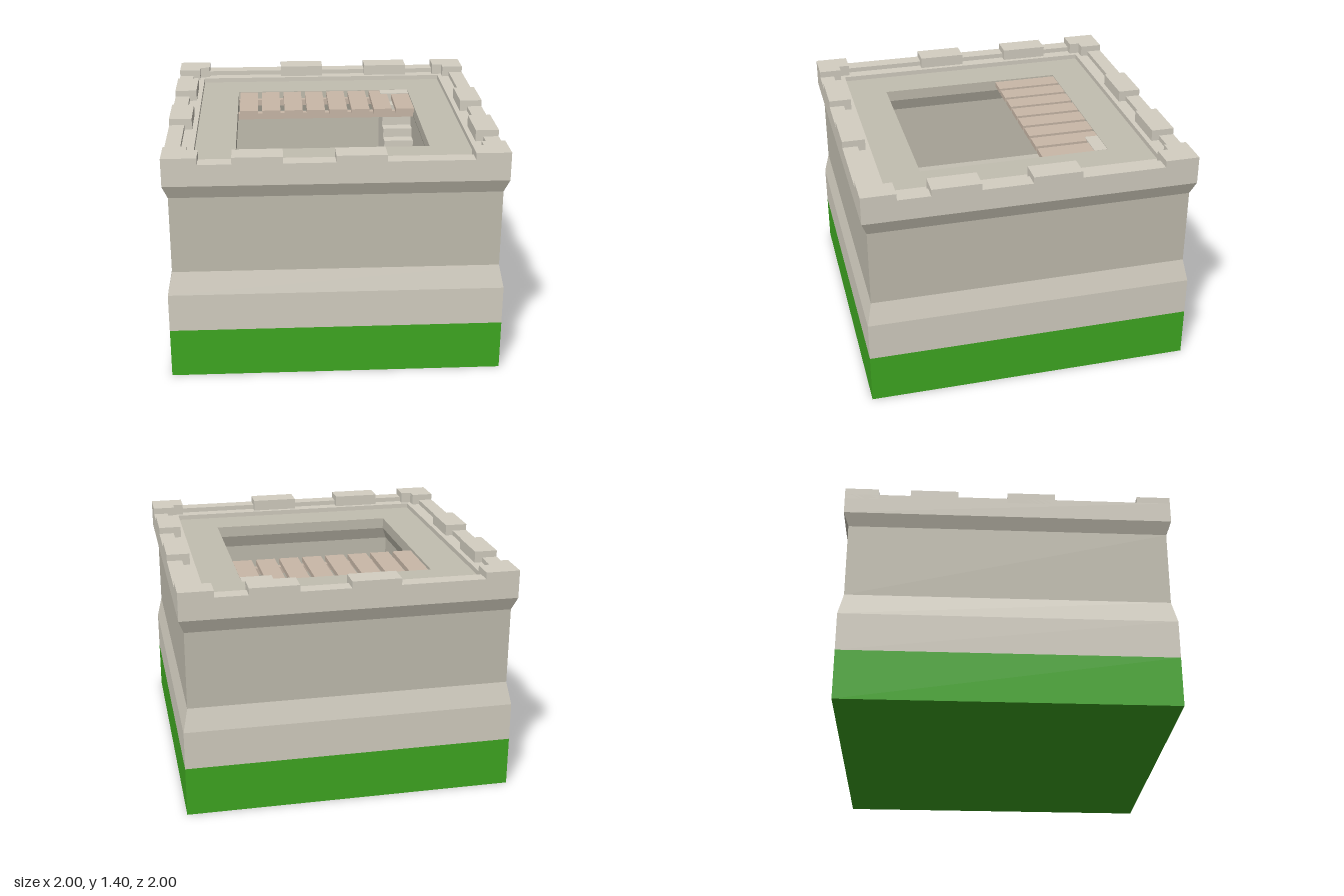
import * as THREE from 'three';

const mat = (color) => new THREE.MeshStandardMaterial({ color, flatShading: true });

export function createModel() {
  const model = new THREE.Group();
  const trim = mat(0xd4cfc2), wall = mat(0xc2beb0), wood = mat(0xc9b8a8), grass = mat(0x3fa821);

  // box given by its min and max corners
  const box = (name, m, [x0, y0, z0], [x1, y1, z1], parent = model) => {
    const mesh = new THREE.Mesh(new THREE.BoxGeometry(x1 - x0, y1 - y0, z1 - z0), m);
    mesh.position.set((x0 + x1) / 2, (y0 + y1) / 2, (z0 + z1) / 2);
    mesh.name = name;
    parent.add(mesh);
    return mesh;
  };

  // sweep a profile of [half width, height] round a square
  const squareRing = (name, m, profile) => {
    const pos = [];
    for (let side = 0; side < 4; side++) {
      const turn = (x, y, z) => {
        const v = new THREE.Vector3(x, y, z);
        for (let k = 0; k < side; k++) v.set(v.z, v.y, -v.x);
        return v.toArray();
      };
      for (let i = 0; i < profile.length - 1; i++) {
        const [h, y] = profile[i], [H, Y] = profile[i + 1];
        const a = turn(-h, y, h), b = turn(h, y, h), c = turn(H, Y, H), d = turn(-H, Y, H);
        pos.push(...a, ...b, ...c, ...a, ...c, ...d);
      }
    }
    const g = new THREE.BufferGeometry();
    g.setAttribute('position', new THREE.Float32BufferAttribute(pos, 3));
    g.computeVertexNormals();
    const mesh = new THREE.Mesh(g, m);
    mesh.name = name;
    model.add(mesh);
  };

  // ground
  const floorY = 0.305, deckY = 1.3;
  box('grassBase', grass, [-1, 0, -1], [1, floorY, 1]);

  // walls, from the outer foot over the top and down inside
  squareRing('outerPlinth', trim, [[1, floorY], [1, 0.54], [0.97, 0.68]]);
  squareRing('outerWall', wall, [[0.97, 0.68], [0.97, 1.15], [1, 1.23]]);
  squareRing('parapet', trim, [[1, 1.23], [1, 1.36], [0.907, 1.36], [0.907, 1.33], [0.83, 1.33], [0.83, deckY]]);
  squareRing('deckAndInnerWall', wall, [[0.83, deckY], [0.585, deckY], [0.585, 1.23], [0.615, 1.15], [0.615, 0.68]]);
  squareRing('innerPlinth', trim, [[0.615, 0.68], [0.585, 0.54], [0.585, floorY]]);

  // battlements: two merlons and one L-shaped corner per side
  for (let side = 0; side < 4; side++) {
    const group = new THREE.Group();
    group.name = 'battlements';
    group.rotation.y = side * Math.PI / 2;
    for (const x of [-0.6, -0.005])
      box('merlon', trim, [x, 1.33, 0.86], [x + 0.293, 1.4, 1], group);
    box('cornerMerlon', trim, [0.795, 1.33, 0.86], [1, 1.4, 1], group);
    box('cornerMerlon', trim, [0.86, 1.33, 0.795], [1, 1.4, 0.86], group);
    model.add(group);
  }

  // switchback stairs: lower flight, landing, upper flight
  const x0 = 0.195, xm = 0.39, x1 = 0.583, zEnd = 0.583, going = 0.08;
  const landingY = 0.6, lowRise = (landingY - floorY) / 5, rise = (deckY - landingY) / 12;
  box('stairFoot', trim, [x0, floorY - 0.02, -zEnd], [xm, floorY + 0.006, -0.26]);
  for (let i = 0; i < 5; i++)
    box('lowerStep', trim, [x0, floorY + i * lowRise, -0.26 + i * going], [xm, floorY + (i + 1) * lowRise, zEnd]);
  box('landing', trim, [xm, floorY, -zEnd], [x1, landingY, zEnd]);
  for (let i = 0; i < 12; i++)
    box('upperStep', trim, [xm, landingY + i * rise, -zEnd], [x1, landingY + (i + 1) * rise, 0.38 - i * going]);

  // wooden walkway: planks laid over two beams
  for (let i = 0; i < 8; i++) {
    const x = -0.573 + i * 0.148;
    box('plank', wood, [x, 1.265, i === 7 ? -0.51 : -0.585], [x + 0.12, 1.296, -0.17]);
  }
  box('beam', wood, [-0.583, 1.225, -0.54], [xm, 1.265, -0.505]);
  box('beam', wood, [-0.583, 1.225, -0.25], [x1, 1.265, -0.21]);

  return model;
}
